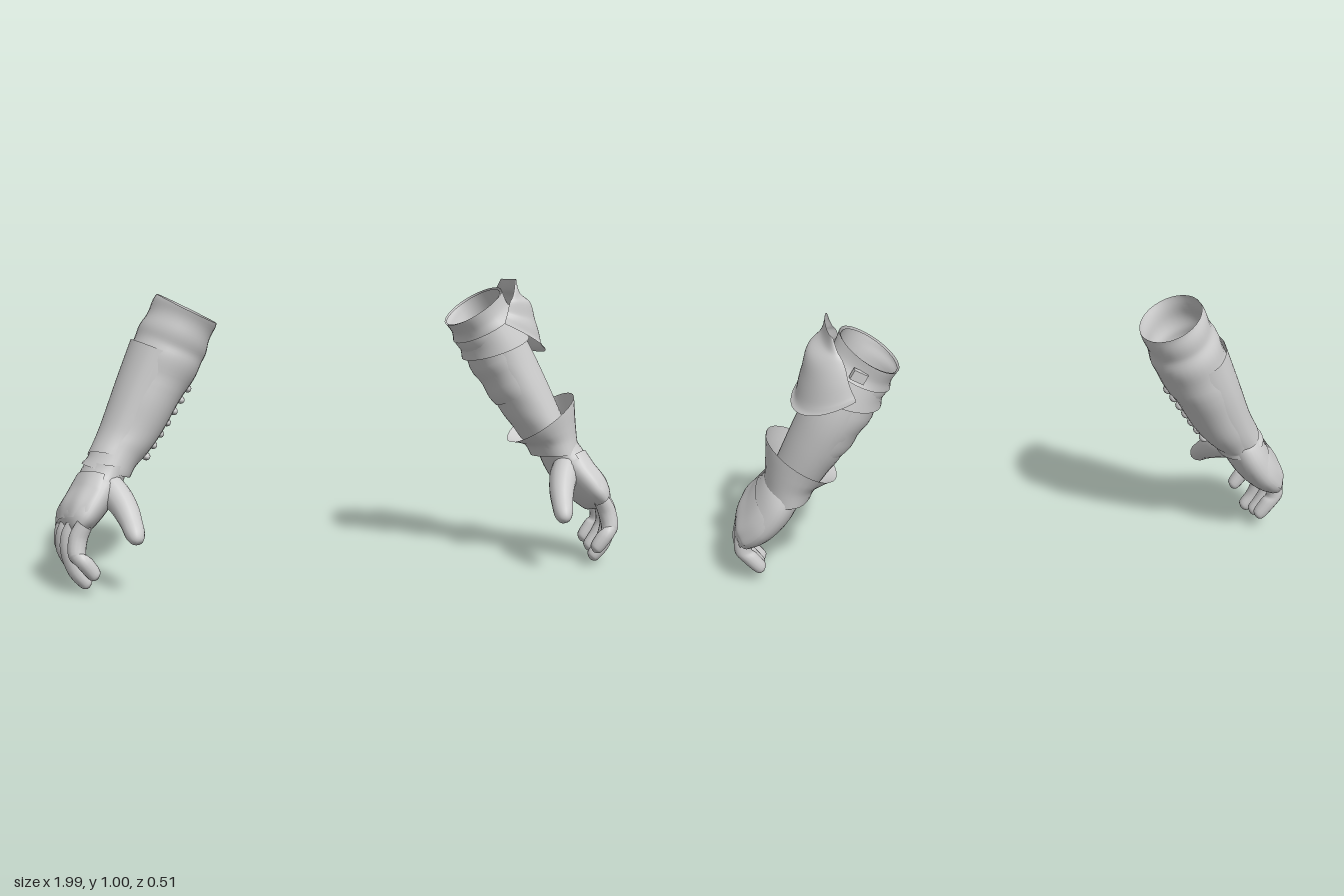
import * as THREE from 'three';

const leather = new THREE.MeshStandardMaterial({ color: 0xcccccc, side: THREE.DoubleSide });
leather.name = 'pale grey leather';

const spline = (a, b, c, d, t) =>
  0.5 * (2 * b + (c - a) * t + (2 * a - 5 * b + 4 * c - d) * t * t + (3 * b - a - 3 * c + d) * t * t * t);

// Smooth surface through rings [x, y, z, outward radius, depth radius, tilt in degrees].
// side -1 mirrors it; from/to limit the arc (0 = outward, 90 = front); swell scales the radii.
function loft(name, side, rings, { from = 0, to = 360, seg = 32, steps = 6, swell = () => 1, lean = 0 } = {}) {
  const n = rings.length, rows = (n - 1) * steps, full = to - from === 360;
  const cols = full ? seg : seg + 1;
  const at = (v) => {
    const i = Math.min(n - 2, Math.floor(v)), R = (k) => rings[Math.max(0, Math.min(n - 1, k))];
    return R(i).map((_, k) => spline(R(i - 1)[k], R(i)[k], R(i + 1)[k], R(i + 2)[k], v - i));
  };
  const pos = [], idx = [];
  for (let j = 0; j <= rows; j++) {
    const v = j / steps, r = at(v);
    const p = at(Math.max(0, v - 0.1)), q = at(Math.min(n - 1, v + 0.1));
    const T = new THREE.Vector3(q[0] - p[0], q[1] - p[1], q[2] - p[2]).normalize();
    const tilt = THREE.MathUtils.degToRad(r[5]);
    const U = new THREE.Vector3(Math.cos(tilt), Math.sin(tilt), 0);
    const W = new THREE.Vector3().crossVectors(T, U).normalize();
    for (let i = 0; i < cols; i++) {
      const a = THREE.MathUtils.degToRad(from + (to - from) * i / seg);
      const k = swell(a, j / rows, i / seg);
      const P = new THREE.Vector3(r[0], r[1], r[2])
        .addScaledVector(U, Math.max(0.001, r[3]) * k * Math.cos(a))
        .addScaledVector(W, Math.max(0.001, r[4]) * k * Math.sin(a));
      pos.push(P.x * side, P.y + lean * (P.z - r[2]), P.z);
    }
  }
  for (let j = 0; j < rows; j++) {
    for (let i = 0; i < seg; i++) {
      const a = j * cols + i, b = j * cols + (i + 1) % cols, c = a + cols, d = b + cols;
      if (side > 0) idx.push(a, b, c, b, d, c);
      else idx.push(a, c, b, b, c, d);
    }
  }
  const g = new THREE.BufferGeometry();
  g.setAttribute('position', new THREE.Float32BufferAttribute(pos, 3));
  g.setIndex(idx);
  g.computeVertexNormals();
  const m = new THREE.Mesh(g, leather);
  m.name = name;
  return m;
}

const grow = (rings, k) => rings.map(([x, y, z, a, b, t]) => [x, y, z, a * k, b * k, t]);

// Gloved hand: palm, knuckle flap, four curled fingers and a thumb
function hand(side) {
  const g = new THREE.Group();
  g.name = 'hand';
  const palm = [
    [0.805, 0.41, -0.03, 0.07, 0.11, 8], [0.838, 0.345, -0.025, 0.072, 0.132, 25],
    [0.875, 0.29, 0.0, 0.07, 0.146, 34], [0.915, 0.243, 0.035, 0.064, 0.142, 38],
    [0.94, 0.208, 0.055, 0.046, 0.125, 36], [0.95, 0.19, 0.06, 0.002, 0.06, 36],
  ];
  g.add(loft('palm', side, palm));
  g.add(loft('knuckleFlap', side, grow(palm.slice(1, 5), 1.05), {
    from: -80, to: 80, swell: (a, v, u) => 0.95 + 0.06 * Math.sin(Math.PI * u) + 0.025 * v * Math.cos(a * 9),
  }));
  // name, base z, tip z, tip height, inward shift
  const fingers = [['index', 0.16, 0.19, 0.05, 0.03], ['middle', 0.102, 0.108, 0.003, 0.01],
    ['ring', 0.042, 0.037, 0.022, 0], ['little', -0.018, -0.025, 0.042, 0]];
  for (const [name, z0, z1, tip, inward] of fingers) {
    const mid = (z0 + z1) / 2;
    g.add(loft(name + 'Finger', side, [
      [0.938, 0.235, z0, 0.028, 0.032, 35], [0.96, 0.19, z0, 0.032, 0.032, 20],
      [0.966, 0.135, mid, 0.03, 0.03, 0], [0.945, tip + 0.065, z1, 0.028, 0.028, -25],
      [0.913, tip + 0.022, z1, 0.024, 0.024, -35], [0.905, tip + 0.009, z1, 0.013, 0.015, -40],
      [0.902, tip + 0.005, z1, 0.001, 0.001, -40],
    ].map(([x, ...rest]) => [x - inward, ...rest]), { seg: 14, steps: 4 }));
  }
  g.add(loft('thumb', side, [
    [0.835, 0.37, 0.0, 0.04, 0.05, 0], [0.805, 0.325, 0.065, 0.056, 0.056, 0],
    [0.772, 0.278, 0.13, 0.047, 0.046, 0], [0.755, 0.235, 0.182, 0.038, 0.036, 0],
    [0.748, 0.205, 0.217, 0.033, 0.032, 0], [0.745, 0.186, 0.238, 0.02, 0.02, 0],
    [0.745, 0.18, 0.243, 0.001, 0.001, 0],
  ], { seg: 16, steps: 4 }));
  return g;
}

function leftArm() {
  const g = new THREE.Group();
  g.name = 'leftArm';
  const sleeve = [
    [0.507, 0.902, -0.10, 0.108, 0.13, 34], [0.545, 0.845, -0.10, 0.104, 0.125, 32],
    [0.62, 0.715, -0.10, 0.106, 0.128, 29], [0.685, 0.595, -0.08, 0.098, 0.122, 28],
    [0.755, 0.465, -0.05, 0.082, 0.108, 20], [0.80, 0.39, -0.03, 0.07, 0.095, 5],
  ];
  g.add(loft('sleeve', 1, sleeve, {
    swell: (a, v) => 1 + 0.015 * Math.sin(v * 40 + 2 * a) * Math.max(0, -Math.cos(a)),
  }));

  // Wrapped bands round the elbow
  g.add(loft('upperBand', 1, [
    [0.505, 0.905, -0.10, 0.115, 0.142, 34], [0.53, 0.865, -0.10, 0.11, 0.136, 33],
    [0.548, 0.835, -0.10, 0.119, 0.143, 30],
  ], { swell: (a, v) => 1 + 0.015 * Math.sin(3 * a + 4 * v) }));
  g.add(loft('lowerBand', 1, [
    [0.55, 0.835, -0.10, 0.108, 0.13, 26], [0.575, 0.79, -0.10, 0.113, 0.137, 24],
    [0.592, 0.755, -0.10, 0.122, 0.142, 20],
  ], { swell: (a, v) => 1 + 0.02 * Math.sin(2 * a + 1) }));

  // Padding on the inner side of the forearm
  g.add(loft('innerPad', 1, grow(sleeve.slice(1, 4), 1.06), {
    from: 95, to: 265,
    swell: (a, v, u) => 0.93 + Math.sin(Math.PI * u) * (0.12 + 0.05 * Math.sin(v * 17)) * (1 - 0.5 * v),
  }));

  // Flared elbow shield: thin upright top, domed middle and turned lip
  g.add(loft('elbowShield', 1, [
    [0.632, 1.0, -0.085, 0.012, 0.082, 0], [0.622, 0.955, -0.09, 0.04, 0.11, 0],
    [0.61, 0.92, -0.095, 0.1, 0.128, -2], [0.602, 0.87, -0.10, 0.135, 0.142, -12],
    [0.592, 0.835, -0.10, 0.178, 0.156, -24], [0.59, 0.82, -0.10, 0.203, 0.16, -25],
  ], { from: -95, to: 95, lean: 0.18 }));

  // Flared wrist cuff
  g.add(loft('wristCuff', 1, [
    [0.745, 0.505, -0.04, 0.143, 0.147, 36], [0.765, 0.462, -0.038, 0.112, 0.135, 24],
    [0.785, 0.42, -0.035, 0.09, 0.125, 11], [0.80, 0.372, -0.03, 0.082, 0.124, 3],
  ]));

  // Strap buckles
  for (const [x, y, z, turn] of [[0.56, 0.88, -0.238, 0], [0.585, 0.655, -0.03, 0.9], [0.615, 0.61, -0.02, 0.9]]) {
    const b = new THREE.Mesh(new THREE.BoxGeometry(0.05, 0.035, 0.022), leather);
    b.name = 'buckle';
    b.position.set(x, y, z);
    b.rotation.set(0, -turn, 0.55);
    g.add(b);
  }
  g.add(hand(1));
  return g;
}

function rightArm() {
  const g = new THREE.Group();
  g.name = 'rightArm';
  const sleeve = [
    [0.52, 0.92, -0.10, 0.113, 0.14, 27], [0.555, 0.845, -0.10, 0.118, 0.135, 27],
    [0.592, 0.765, -0.10, 0.124, 0.136, 24], [0.66, 0.635, -0.085, 0.11, 0.127, 22],
    [0.735, 0.49, -0.06, 0.095, 0.112, 20], [0.79, 0.415, -0.035, 0.082, 0.105, 18],
    [0.815, 0.38, -0.03, 0.084, 0.112, 18],
  ];
  g.add(loft('sleeve', -1, sleeve, {
    steps: 8,
    swell: (a, v) => 1 + 0.02 * Math.sin(v * 34 + 2 * Math.sin(a)) * (v < 0.45 ? 1 : 0.4),
  }));

  // Raised guard along the outer forearm
  g.add(loft('forearmGuard', -1, grow(sleeve.slice(2, 6), 1.05), {
    from: -80, to: 80, swell: (a, v, u) => 0.94 + 0.07 * Math.min(1, 6 * Math.min(u, 1 - u)),
  }));

  // Lacing along the inner forearm
  const lace = new THREE.SphereGeometry(1, 12, 8);
  for (let i = 0; i < 7; i++) {
    const t = i / 6, m = new THREE.Mesh(lace, leather);
    m.name = 'lacing';
    m.position.set(-0.525 - 0.15 * t, 0.645 - 0.225 * t, -0.085 + 0.035 * t);
    m.scale.set(0.016, 0.014, 0.026);
    m.rotation.z = -0.4;
    g.add(m);
  }
  g.add(hand(-1));
  return g;
}

export function createModel() {
  const model = new THREE.Group();
  model.name = 'armourGloves';
  model.add(leftArm(), rightArm());
  return model;
}
